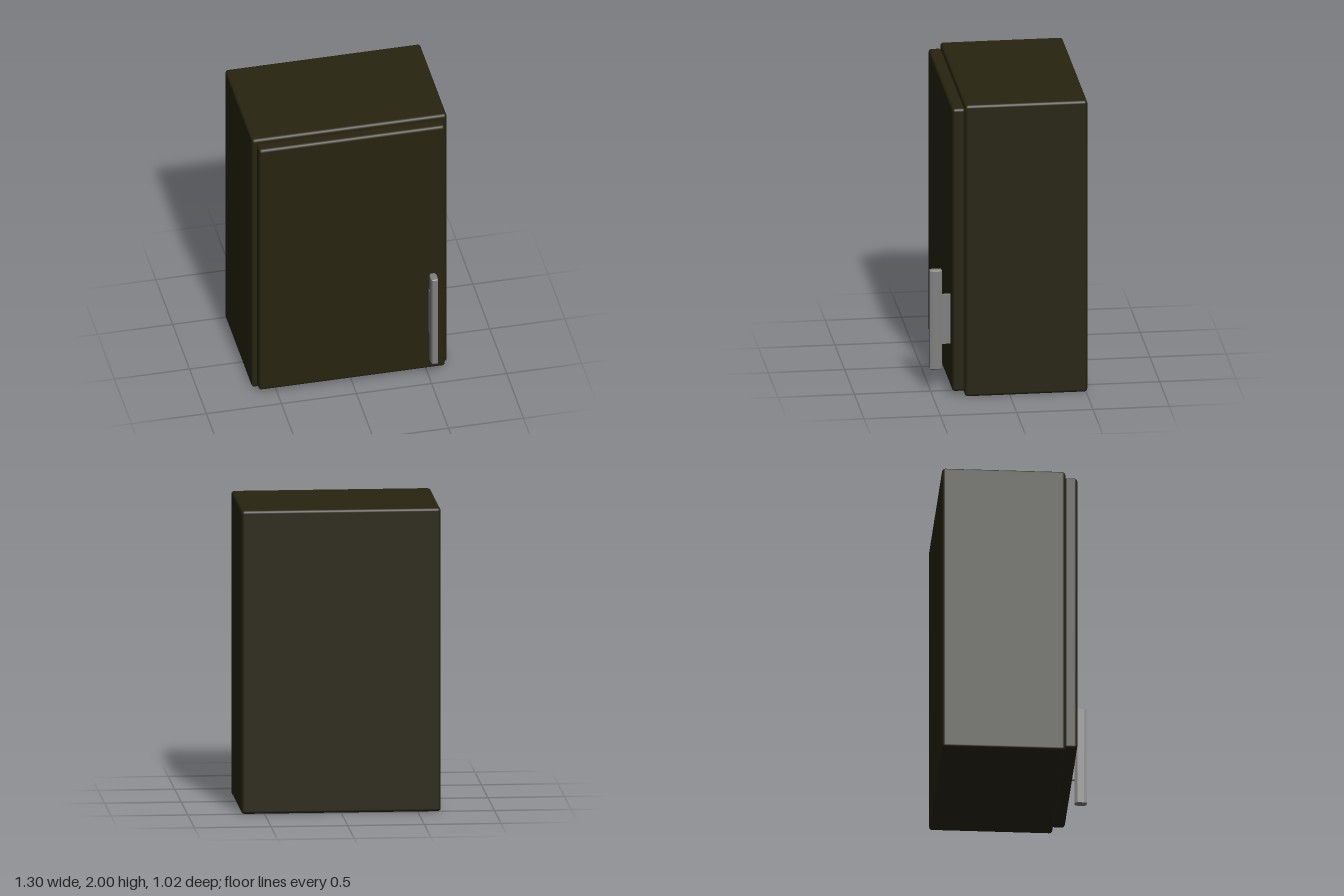
import * as THREE from 'three';
import { RoundedBoxGeometry } from 'three/addons/geometries/RoundedBoxGeometry.js';

const material = (name, color) => {
  const m = new THREE.MeshStandardMaterial({ color });
  m.name = name;
  return m;
};

// Box given by its extents on each axis, with softened edges
function roundedBox(name, [x0, x1], [y0, y1], [z0, z1], radius, mat) {
  const geometry = new RoundedBoxGeometry(x1 - x0, y1 - y0, z1 - z0, 2, radius);
  const mesh = new THREE.Mesh(geometry, mat);
  mesh.name = name;
  mesh.position.set((x0 + x1) / 2, (y0 + y1) / 2, (z0 + z1) / 2);
  return mesh;
}

export function createModel() {
  const wood = material('dark olive wood', 0x272410);
  const metal = material('grey metal', 0x808080);
  const model = new THREE.Group();
  model.name = 'wallCabinet';

  // Cabinet carcass and the slightly smaller door in front of it
  model.add(roundedBox('cabinetBody', [-0.65, 0.65], [0, 2], [-0.51, 0.293], 0.02, wood));
  model.add(roundedBox('door', [-0.62, 0.62], [0.03, 1.97], [0.285, 0.373], 0.02, wood));

  // Handle: a bevelled upright bar on a short mounting plate
  const handle = new THREE.Group();
  handle.name = 'handle';
  const profile = new THREE.Shape([
    [-0.016, -0.04], [0.016, -0.04], [0.024, -0.022], [0.024, 0.02],
    [0.018, 0.04], [-0.018, 0.04], [-0.024, 0.02], [-0.024, -0.022],
  ].map(([x, y]) => new THREE.Vector2(x, -y)));
  const barGeometry = new THREE.ExtrudeGeometry(profile, {
    depth: 0.67, bevelEnabled: true, bevelThickness: 0.006,
    bevelSize: 0.005, bevelOffset: -0.005, bevelSegments: 1,
  });
  barGeometry.rotateX(-Math.PI / 2);
  const bar = new THREE.Mesh(barGeometry, metal);
  bar.name = 'handleBar';
  bar.position.set(0.521, 0.165, 0.47);

  const mount = new THREE.Mesh(new THREE.BoxGeometry(0.026, 0.335, 0.08), metal);
  mount.name = 'handleMount';
  mount.position.set(0.521, 0.5, 0.4);
  handle.add(bar, mount);
  model.add(handle);

  return model;
}
